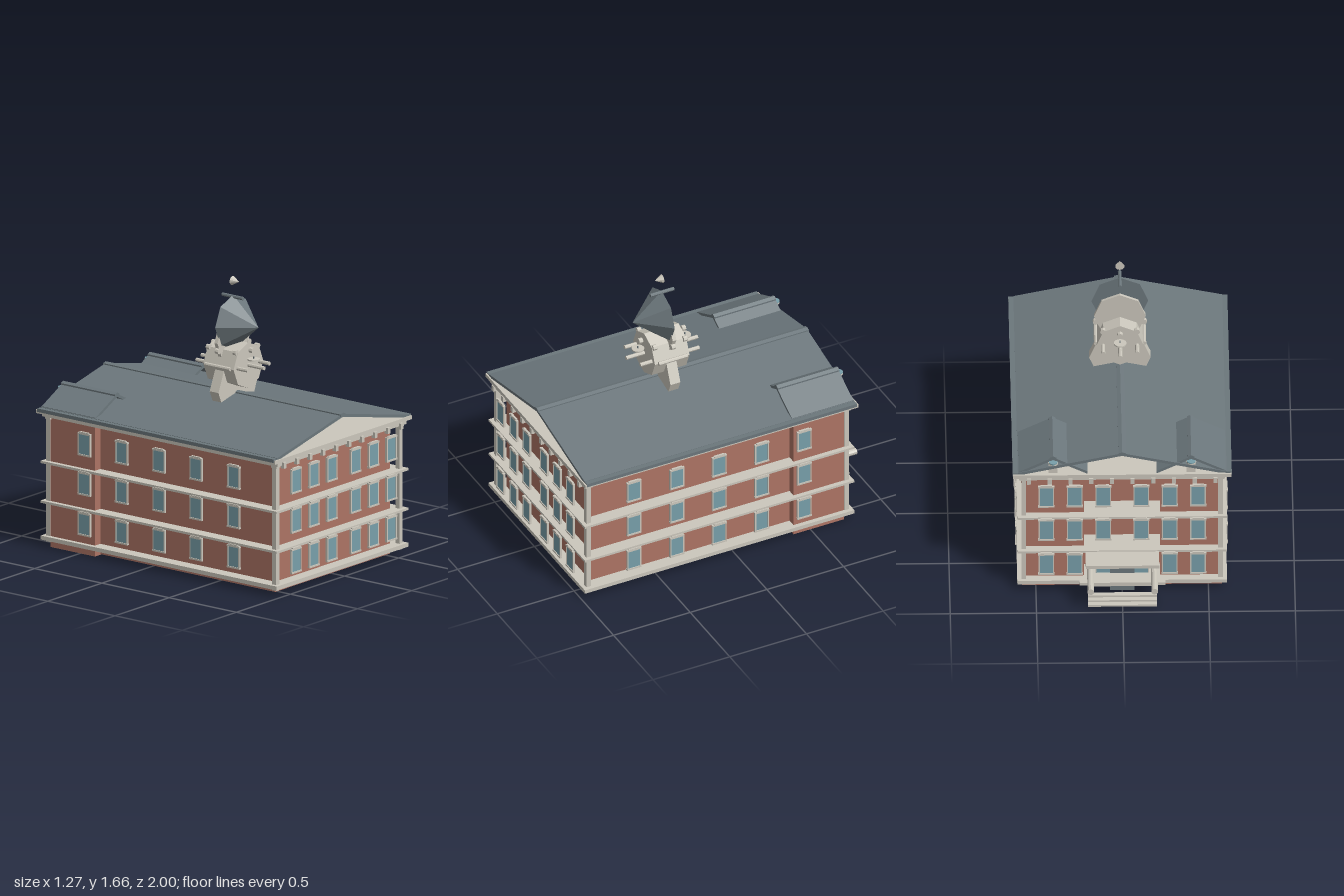
import * as THREE from 'three';

const mat = (name, color) => Object.assign(new THREE.MeshStandardMaterial({ color }), { name });

export function createModel() {
  const brick = mat('brick', 0xad7465);
  const stone = mat('stone', 0xcbc7bc);
  const slate = mat('slate', 0x6c777c);
  const glass = mat('glass', 0x789faa);
  const model = new THREE.Group();
  model.name = 'brickHall';

  const add = (name, geometry, material, parent = model) => {
    const mesh = new THREE.Mesh(geometry, material);
    mesh.name = name;
    parent.add(mesh);
    return mesh;
  };
  // Box given by its limits on each axis
  const box = (name, material, x0, x1, y0, y1, z0, z1, parent) => {
    const g = new THREE.BoxGeometry(x1 - x0, y1 - y0, z1 - z0);
    g.translate((x0 + x1) / 2, (y0 + y1) / 2, (z0 + z1) / 2);
    return add(name, g, material, parent);
  };
  // Prism or cone lying along z
  const lying = (name, material, rFront, rBack, x, y, z0, z1, sides, parent) => {
    const g = new THREE.CylinderGeometry(rFront, rBack, z1 - z0, sides).toNonIndexed();
    g.rotateX(Math.PI / 2);
    g.translate(x, y, (z0 + z1) / 2);
    g.computeVertexNormals();
    return add(name, g, material, parent);
  };
  // Two sloping slabs meeting at a ridge
  const gable = (name, x, ridge, half, eave, t, z0, z1) => {
    const s = new THREE.Shape();
    [[-half, eave - t], [0, ridge - t], [half, eave - t], [half, eave], [0, ridge], [-half, eave]]
      .forEach(([px, py], i) => (i ? s.lineTo(px, py) : s.moveTo(px, py)));
    const g = new THREE.ExtrudeGeometry(s, { depth: z1 - z0, bevelEnabled: false });
    g.translate(x, 0, z0);
    return add(name, g, slate);
  };

  // Brick body with two projecting rear wings
  box('mainBody', brick, -0.53, 0.53, 0.004, 0.79, -0.61, 0.91);
  for (const s of [-1, 1]) {
    const a = s * 0.22, b = s * 0.58;
    box('rearWing', brick, Math.min(a, b), Math.max(a, b), 0, 0.79, -0.72, -0.39);
  }

  // Stone courses, frieze and cornice
  for (const [y0, y1] of [[0.042, 0.066], [0.263, 0.277], [0.502, 0.516]])
    box('stoneCourse', stone, -0.608, 0.608, y0, y1, -0.772, 0.985);
  box('frieze', stone, -0.597, 0.597, 0.782, 0.808, -0.77, 0.98);
  box('cornice', stone, -0.633, 0.633, 0.806, 0.828, -0.787, 0.993);
  for (const z of [-0.777, 0.982])
    for (let i = 0; i < 10; i++) {
      const x = -0.54 + i * 0.12;
      box('bracket', stone, x - 0.012, x + 0.012, 0.764, 0.8, z - 0.012, z + 0.012);
    }

  // Corner posts
  for (const x of [-0.57, 0.57])
    for (const z of [-0.735, 0.947]) {
      box('cornerPost', stone, x - 0.014, x + 0.014, 0.03, 0.785, z - 0.015, z + 0.015);
      box('postCapital', stone, x - 0.02, x + 0.02, 0.768, 0.785, z - 0.02, z + 0.02);
    }

  // Windows, standing proud of the walls
  const addWindow = (x, y, z, turn, h) => {
    const w = new THREE.Group();
    w.name = 'window';
    const t = h / 2;
    box('pane', glass, -0.038, 0.038, -t, t, -0.006, 0.003, w);
    for (const s of [-1, 1])
      box('jamb', stone, s * 0.042 - 0.004, s * 0.042 + 0.004, -t, t, -0.007, 0.006, w);
    box('sill', stone, -0.047, 0.047, -t - 0.01, -t, -0.007, 0.008, w);
    box('lintel', stone, -0.047, 0.047, t, t + 0.01, -0.007, 0.008, w);
    box('keystone', stone, -0.034, 0.034, t + 0.01, t + 0.016, -0.006, 0.007, w);
    w.position.set(x, y, z);
    w.rotation.y = turn;
    model.add(w);
  };
  for (const y of [0.19, 0.433, 0.67]) {
    for (const x of [-0.44, -0.275, -0.11, 0.11, 0.275, 0.44]) {
      addWindow(x, y, 0.992, 0, 0.128);
      addWindow(x, y, -0.777, Math.PI, 0.128);
    }
    for (const z of [0.665, 0.385, 0.11, -0.168, -0.445]) {
      addWindow(0.608, y, z, Math.PI / 2, 0.118);
      addWindow(-0.608, y, z, -Math.PI / 2, 0.118);
    }
  }

  // Main roof with open gables, ridge cap and eaves
  gable('mainRoof', 0, 0.972, 0.605, 0.838, 0.018, -0.775, 0.985);
  gable('ridgeCap', 0, 0.981, 0.022, 0.974, 0.016, -0.778, 0.988);
  for (const s of [-1, 1])
    box('eave', slate, s * 0.617 - 0.018, s * 0.617 + 0.018, 0.815, 0.836, -0.776, 0.984);

  // Rear dormers
  for (const x of [-0.4, 0.4]) {
    gable('dormerRoof', x, 0.943, 0.2, 0.842, 0.018, -0.77, -0.37);
    gable('dormerRidge', x, 0.952, 0.02, 0.942, 0.016, -0.772, -0.37);
    box('dormerPost', stone, x - 0.026, x + 0.026, 0.828, 0.908, -0.765, -0.745);
    const frame = add('dormerLightFrame', new THREE.CylinderGeometry(0.029, 0.029, 0.008, 16), stone);
    frame.position.set(x, 0.908, -0.773);
    const light = add('dormerLight', new THREE.CylinderGeometry(0.025, 0.025, 0.012, 16), glass);
    light.position.set(x, 0.912, -0.777);
  }

  // Tower of octagonal pieces stacked on the ridge
  const tower = new THREE.Group();
  tower.name = 'tower';
  model.add(tower);
  const zc = 0.17;
  lying('towerBase', stone, 0.178, 0.178, 0, 1.0, 0.14, 0.205, 8, tower);
  lying('belfry', stone, 0.137, 0.137, 0, 1.143, 0.06, 0.285, 8, tower);
  lying('domeRing', stone, 0.15, 0.15, 0, 1.285, 0.152, 0.176, 8, tower);
  lying('dome', slate, 0, 0.165, 0, 1.382, 0.17, 0.36, 8, tower);
  for (let i = 0; i < 8; i++) {
    const a = (i * Math.PI) / 4;
    const x = 0.14 * Math.sin(a), z = zc + 0.14 * Math.cos(a);
    lying('belfryColumn', stone, 0.012, 0.012, x, 1.145, z - 0.093, z + 0.093, 8, tower);
    lying('columnCapital', stone, 0.017, 0.017, x, 1.238, z - 0.012, z + 0.012, 8, tower);
  }
  for (const z of [0.02, 0.325]) {
    const face = add('clockFace', new THREE.CylinderGeometry(0.037, 0.037, 0.008, 16), stone, tower);
    face.position.set(0, 1.186, z);
    box('clockHand', slate, -0.003, 0.003, 1.175, 1.203, z - 0.003, z + 0.003, tower);
  }
  lying('spire', slate, 0.011, 0.011, 0, 1.537, 0.092, 0.245, 8, tower);
  lying('finial', stone, 0, 0.027, 0, 1.632, 0.166, 0.216, 10, tower);

  // Rear porch: canopy, beams, lying columns, door and steps
  box('porchCanopy', stone, -0.213, 0.213, 0.25, 0.27, -0.915, -0.76);
  box('porchCeiling', stone, -0.2, 0.2, 0.236, 0.25, -0.8, -0.76);
  box('porchFloor', stone, -0.2, 0.2, 0.115, 0.126, -0.9, -0.75);
  box('porchBeam', stone, -0.248, 0.248, 0.126, 0.145, -0.907, -0.875);
  for (const x of [-0.185, 0.185])
    lying('porchColumn', stone, 0.02, 0.02, x, 0.145, -1, -0.77, 10);
  box('door', slate, -0.07, 0.07, 0.004, 0.2, -0.784, -0.775);
  for (let i = 0; i < 3; i++)
    box('step', stone, -0.2, 0.2, 0.032 - i * 0.013, 0.044 - i * 0.013, -0.893 - i * 0.029, -0.861 - i * 0.029);

  return model;
}
